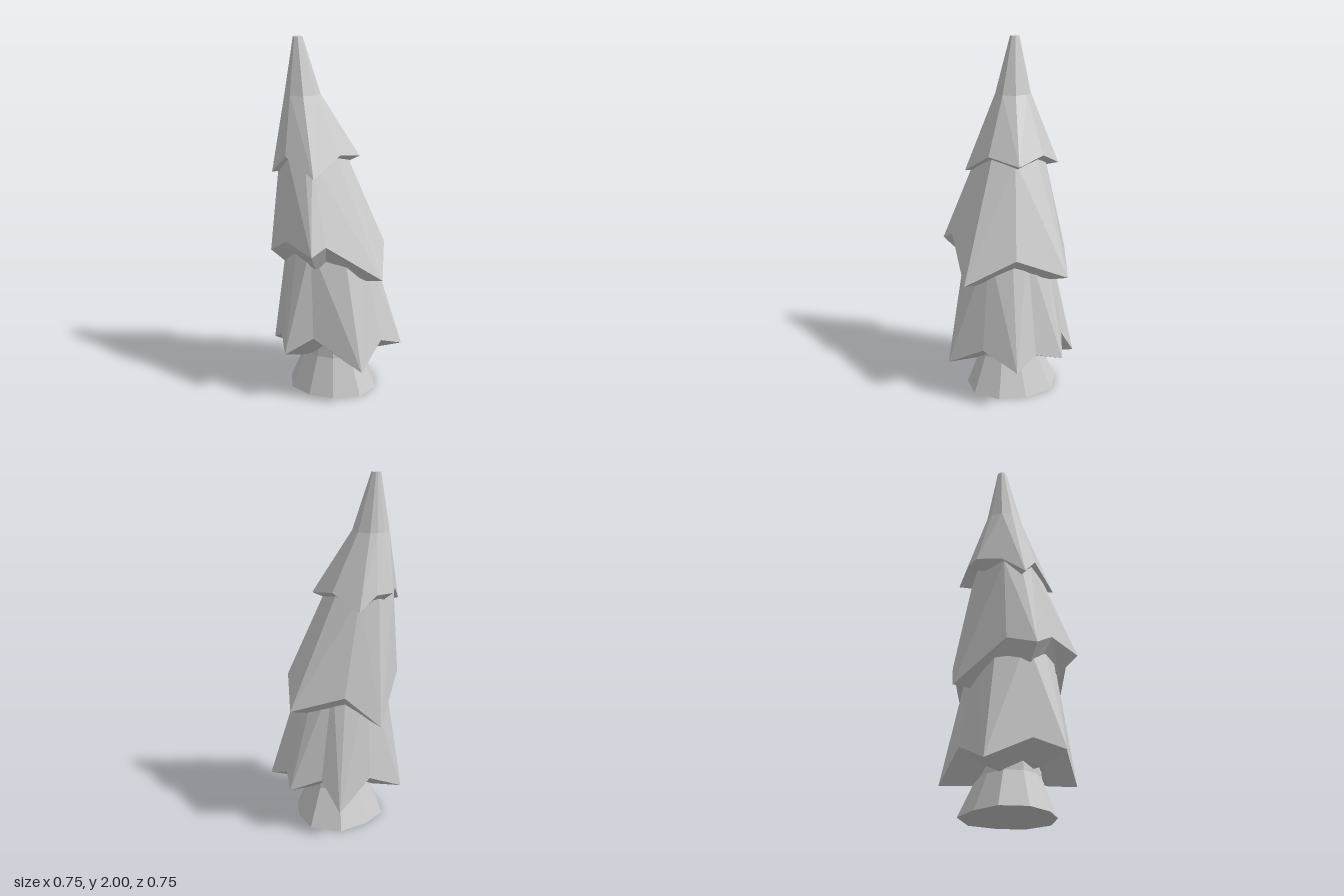
import * as THREE from 'three';

const material = new THREE.MeshStandardMaterial({ color: 0xcccccc, flatShading: true });

// Skin a stack of equal-length rings (top to bottom) and cap both ends.
function loft(name, rings) {
  const out = [];
  const tri = (...pts) => pts.forEach((p) => out.push(...p));
  const middle = (ring) => [0, 1, 2].map((k) => ring.reduce((s, p) => s + p[k], 0) / ring.length);
  const n = rings[0].length;
  const first = rings[0], last = rings[rings.length - 1];
  const topMid = middle(first), lowMid = middle(last);
  for (let i = 0; i < n; i++) {
    const j = (i + 1) % n;
    for (let r = 0; r < rings.length - 1; r++) {
      const a = rings[r][i], b = rings[r][j], c = rings[r + 1][i], d = rings[r + 1][j];
      // the diagonals mirror on either side of each branch tip
      if (i % 2) { tri(a, b, d); tri(a, d, c); }
      else { tri(a, b, c); tri(b, d, c); }
    }
    tri(topMid, first[j], first[i]);
    tri(lowMid, last[i], last[j]);
  }
  const geometry = new THREE.BufferGeometry();
  geometry.setAttribute('position', new THREE.Float32BufferAttribute(out, 3));
  geometry.computeVertexNormals();
  const mesh = new THREE.Mesh(geometry, material);
  mesh.name = name;
  return mesh;
}

// One layer of branches: round collars above, a jagged hem, then a tucked-in underside.
function tier(name, collars, hem, centre, tuck) {
  const [cx, cz] = centre;
  const angles = hem.map(([x, , z]) => Math.atan2(z - cz, x - cx));
  const rings = collars.map(([x, y, z, r]) =>
    angles.map((a) => [x + r * Math.cos(a), y, z + r * Math.sin(a)]));
  const low = Math.min(...hem.map((p) => p[1]));
  const under = hem.map(([x, y, z]) =>
    [cx + (x - cx) * tuck, y - (y - low) * 0.45, cz + (z - cz) * tuck]);
  return loft(name, [...rings, hem, under]);
}

export function createModel() {
  const tree = new THREE.Group();
  tree.name = 'tree';

  // Hems alternate tip, notch, going round from +x towards +z.
  tree.add(tier('topBranches',
    [[-0.205, 2, -0.005, 0.026], [-0.178, 1.69, 0, 0.1]],
    [
      [0.125, 1.345, -0.09], [0.07, 1.38, 0.09],
      [-0.03, 1.27, 0.245], [-0.21, 1.375, 0.19],
      [-0.3, 1.28, 0.16], [-0.31, 1.37, 0.03],
      [-0.33, 1.38, -0.11], [-0.26, 1.38, -0.185],
      [-0.185, 1.3, -0.26], [-0.02, 1.38, -0.2],
    ], [-0.13, 0], 0.72));

  tree.add(tier('middleBranches',
    [[-0.12, 1.36, 0, 0.185]],
    [
      [0.34, 0.72, 0.175], [0.06, 0.92, 0.305],
      [0, 0.875, 0.37], [-0.18, 0.92, 0.27],
      [-0.29, 0.85, 0.22], [-0.325, 0.88, 0.06],
      [-0.305, 0.655, -0.24], [-0.12, 0.83, -0.31],
      [0.17, 0.745, -0.37], [0.27, 0.86, -0.1],
    ], [-0.04, 0], 0.72));

  tree.add(tier('lowerBranches',
    [[-0.035, 0.9, 0.01, 0.23]],
    [
      [0.375, 0.24, -0.125], [0.31, 0.33, 0.08],
      [0.26, 0.215, 0.29], [-0.02, 0.38, 0.29],
      [-0.17, 0.285, 0.34], [-0.25, 0.34, 0.18],
      [-0.38, 0.215, -0.04], [-0.24, 0.33, -0.22],
      [-0.11, 0.17, -0.375], [0.01, 0.33, -0.32],
      [0.185, 0.26, -0.35], [0.25, 0.3, -0.21],
    ], [0, 0], 0.55));

  // Trunk with a flared, uneven foot
  const foot = [0.255, 0.26, 0.235, 0.23, 0.25, 0.26, 0.25, 0.29, 0.29, 0.25];
  const trunkRing = (y, scale) => foot.map((r, i) => {
    const a = (i / foot.length) * Math.PI * 2;
    return [Math.cos(a) * r * scale, y, Math.sin(a) * r * scale];
  });
  tree.add(loft('trunk', [trunkRing(0.45, 0.55), trunkRing(0.21, 0.66), trunkRing(0, 1)]));

  return tree;
}
